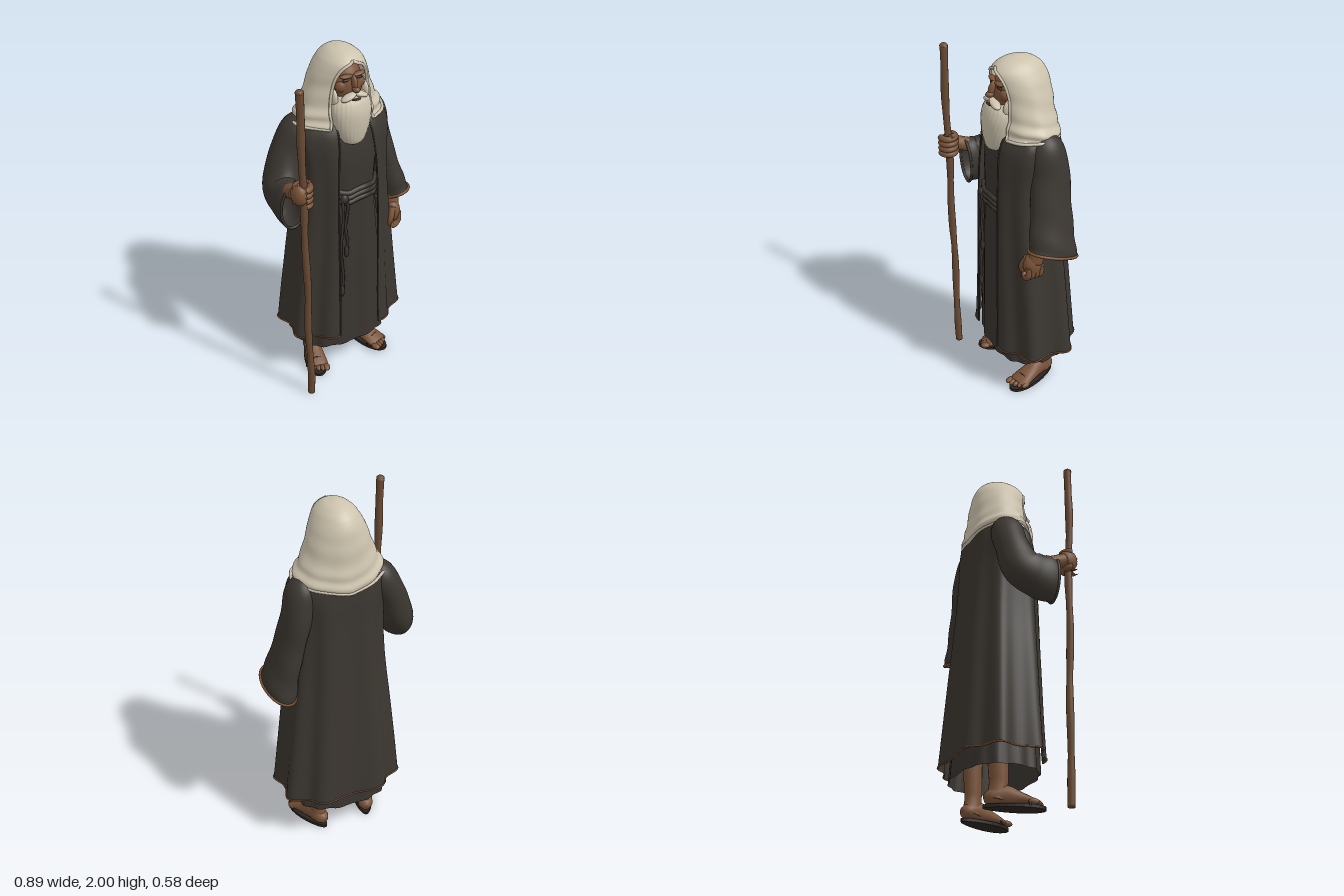
import * as THREE from 'three';

const V = (x, y, z) => new THREE.Vector3(x, y, z);
const colours = {
  coat: 0x3b3630, robe: 0x39342f, hood: 0xcdc3ae, beard: 0xcac0ab, skin: 0x7a5338,
  staff: 0x6a4b34, trim: 0x79502f, sandal: 0x2b2622, shadow: 0x3d291c,
};

export function createModel() {
  const model = new THREE.Group();
  const mats = {};
  for (const [name, color] of Object.entries(colours)) {
    mats[name] = new THREE.MeshStandardMaterial({ color });
    mats[name].name = name;
  }
  for (const cloth of ['coat', 'robe', 'hood']) mats[cloth].side = THREE.DoubleSide;

  const add = (name, geo, mat, parent = model) => {
    const mesh = new THREE.Mesh(geo, mats[mat]);
    mesh.name = name;
    parent.add(mesh);
    return mesh;
  };

  // Smooth interpolation through rows of numbers
  const sample = (rows, t) => {
    const f = t * (rows.length - 1), i = Math.min(Math.floor(f), rows.length - 2), u = f - i;
    const r = k => rows[Math.max(0, Math.min(rows.length - 1, k))];
    return r(i).map((b, k) => {
      const a = r(i - 1)[k], c = r(i + 1)[k], d = r(i + 2)[k];
      return b + 0.5 * u * (c - a + u * (2 * a - 5 * b + 4 * c - d + u * (3 * (b - c) + d - a)));
    });
  };

  // Skin a list of rings; optional end caps
  const skin = (rings, closed, caps) => {
    const n = rings[0].length, pts = rings.flat(), idx = [], last = (rings.length - 1) * n;
    for (let i = 0; i < rings.length - 1; i++)
      for (let j = 0; j < (closed ? n : n - 1); j++) {
        const a = i * n + j, b = i * n + (j + 1) % n;
        idx.push(a, b, a + n, b, b + n, a + n);
      }
    if (caps) {
      for (const ring of [rings[0], rings[rings.length - 1]])
        pts.push(ring.reduce((s, p) => s.add(p), V(0, 0, 0)).divideScalar(n));
      for (let j = 0; j < n; j++) {
        const k = (j + 1) % n;
        idx.push(pts.length - 2, k, j, pts.length - 1, last + j, last + k);
      }
    }
    const geo = new THREE.BufferGeometry().setFromPoints(pts);
    geo.setIndex(idx);
    geo.computeVertexNormals();
    return geo;
  };

  // Upright cloth section: rows are [y, halfWidth, zFront, zBack, halfOpening]
  const cloth = (rows, pow, bend) => (t, s) => {
    const [y, rx, zf, zb, w] = sample(rows, t);
    const a0 = Math.asin(Math.pow(Math.min(1, Math.max(0, w) / rx), pow / 2));
    const a = a0 + s * 2 * (Math.PI - a0);
    const e = v => Math.sign(v) * Math.pow(Math.abs(v), 2 / pow);
    const p = V(rx * e(Math.sin(a)), y, (zf - zb) / 2 * e(Math.cos(a)));
    bend(p, a, t);
    p.z += (zf + zb) / 2;
    return p;
  };
  const loft = (f, nv, nu, closed, caps) => skin(Array.from({ length: nv + 1 }, (_, i) =>
    Array.from({ length: closed ? nu : nu + 1 }, (_, j) => f(i / nv, j / nu))), closed, caps);

  // Tapered limb: points are [x, y, z, radiusA, radiusB]; slant tilts the far end
  const limb = (pts, ref, { nv = 24, nu = 18, caps = true, wrinkle = 0, slant = 0 } = {}) => {
    const rings = [];
    for (let i = 0; i <= nv; i++) {
      const t = i / nv, p = sample(pts, t);
      const q = sample(pts, Math.min(1, t + 0.01)), o = sample(pts, Math.max(0, t - 0.01));
      const T = V(q[0] - o[0], q[1] - o[1], q[2] - o[2]).normalize();
      const S = ref.clone().cross(T).normalize(), U = T.clone().cross(S);
      rings.push(Array.from({ length: nu }, (_, j) => {
        const a = j / nu * Math.PI * 2, k = 1 + wrinkle * t * Math.sin(t * 24 + 2 * Math.sin(a));
        const v = V(p[0], p[1], p[2]).addScaledVector(S, p[3] * k * Math.cos(a)).addScaledVector(U, p[4] * k * Math.sin(a));
        v.y += slant * t ** 4 * (v.z - p[2]);
        return v;
      }));
    }
    return { geo: skin(rings, true, caps), end: rings[nv] };
  };
  const cord = (pts, r, closed = false) =>
    new THREE.TubeGeometry(new THREE.CatmullRomCurve3(pts, closed), pts.length * 4, r, 7, closed);
  const ball = (name, mat, pos, scale, parent, rx = 0, rz = 0) => {
    const m = add(name, new THREE.SphereGeometry(1, 24, 16), mat, parent);
    m.position.set(...pos);
    m.scale.set(...scale);
    m.rotation.set(rx, 0, rz);
    return m;
  };
  const folds = (count, amp) => (p, a, t) => {
    const k = 1 + amp * (1 - t) * -Math.cos(count * a);
    p.x *= k;
    p.z *= k;
  };

  // Inner robe
  const robe = cloth([[0.2, 0.278, 0.168, -0.245, 0], [0.55, 0.25, 0.165, -0.225, 0], [0.9, 0.21, 0.165, -0.2, 0],
    [1.2, 0.175, 0.16, -0.18, 0], [1.42, 0.19, 0.155, -0.17, 0], [1.58, 0.18, 0.12, -0.15, 0], [1.68, 0.09, 0.06, -0.1, 0]],
  2.5, folds(14, 0.025));
  add('innerRobe', loft(robe, 40, 84, true), 'robe');

  // Open coat with a plain front edge and a hem trim
  const coatFold = folds(8, 0.065);
  const coat = cloth([[0.29, 0.342, 0.188, -0.275, 0.122], [0.5, 0.322, 0.183, -0.262, 0.119], [0.8, 0.29, 0.182, -0.243, 0.118],
    [1.1, 0.257, 0.18, -0.222, 0.117], [1.35, 0.247, 0.174, -0.208, 0.112], [1.53, 0.262, 0.155, -0.2, 0.1],
    [1.62, 0.225, 0.115, -0.182, 0.09], [1.69, 0.1, 0.06, -0.11, 0.06]], 2.5,
  (p, a, t) => { coatFold(p, a, t); p.x += 0.014 * (1 - t); });
  add('coat', loft(coat, 48, 110, false), 'coat');
  const steps = n => Array.from({ length: n + 1 }, (_, i) => i / n);
  for (const s of [0, 1])
    add('coatFrontEdge', cord(steps(24).map(t => coat(t * 0.9, s)), 0.005), 'robe');
  add('coatHemTrim', cord(steps(70).map(s => coat(0, s)), 0.005), 'trim');

  // Rope belt and hanging ends
  for (const [y, r] of [[1.228, 0.014], [1.2, 0.015], [1.17, 0.014]])
    add('belt', cord(steps(39).slice(0, -1).map(s => {
      const p = robe((y - 0.2) / 2 * 0.98, s);
      return V(p.x * 1.02, y + 0.006 * Math.sin(s * 50), p.z * 1.03);
    }), r, true), 'robe');
  ball('beltKnot', 'robe', [-0.08, 1.2, 0.172], [0.022, 0.026, 0.018]);
  for (const [x, low] of [[-0.095, 0.6], [-0.068, 0.86]]) {
    add('beltEnd', cord(steps(6).map(t => V(x + 0.007 * Math.sin(t * 9), 1.2 - t * (1.2 - low), 0.176)), 0.008), 'robe');
    ball('beltTassel', 'robe', [x, low, 0.176], [0.013, 0.04, 0.012]);
  }

  // Sleeves with bound cuffs
  const sleeves = [
    ['leftSleeve', 'trim', 0.3, V(0, 0, 1), [[0.165, 1.645, -0.05, 0.02, 0.02], [0.212, 1.57, -0.06, 0.08, 0.09], [0.25, 1.42, -0.07, 0.078, 0.105],
      [0.292, 1.24, -0.055, 0.075, 0.115], [0.33, 1.09, -0.045, 0.083, 0.127], [0.35, 1.0, -0.042, 0.092, 0.135]]],
    ['rightSleeve', 'coat', 0, V(1, 0, 0), [[-0.155, 1.645, -0.06, 0.02, 0.02], [-0.215, 1.565, -0.065, 0.09, 0.082], [-0.285, 1.43, -0.07, 0.095, 0.085],
      [-0.345, 1.28, -0.035, 0.12, 0.09], [-0.365, 1.235, 0.05, 0.13, 0.082], [-0.365, 1.23, 0.135, 0.135, 0.072]]],
  ];
  for (const [name, edge, slant, ref, pts] of sleeves) {
    const { geo, end } = limb(pts, ref, { nv: 40, nu: 32, caps: false, wrinkle: 0.03, slant });
    add(name, geo, 'coat');
    add(name + 'Cuff', cord(end, 0.008, true), edge);
  }

  // Head and face
  ball('head', 'skin', [0, 1.815, 0.015], [0.098, 0.135, 0.118]);
  ball('noseBridge', 'skin', [0, 1.845, 0.136], [0.015, 0.042, 0.022], model, -0.3);
  ball('noseTip', 'skin', [0, 1.815, 0.15], [0.02, 0.016, 0.024]);
  add('neck', new THREE.CylinderGeometry(0.065, 0.085, 0.2, 24), 'skin').position.set(0, 1.65, -0.01);
  for (const s of [-1, 1]) {
    ball('brow', 'skin', [s * 0.036, 1.88, 0.115], [0.038, 0.011, 0.018], model, 0, s * 0.1);
    ball('eye', 'shadow', [s * 0.037, 1.86, 0.115], [0.022, 0.007, 0.01], model, 0, -s * 0.1);
    ball('cheek', 'skin', [s * 0.045, 1.822, 0.09], [0.04, 0.035, 0.03]);
    ball('moustache', 'beard', [s * 0.034, 1.776, 0.138], [0.046, 0.015, 0.026], model, 0, -s * 0.35);
    ball('sideburn', 'beard', [s * 0.092, 1.76, 0.075], [0.02, 0.055, 0.045]);
  }
  ball('mouth', 'shadow', [0, 1.762, 0.155], [0.026, 0.005, 0.012]);

  // Long beard with strand ripples
  const beard = cloth([[1.5, 0.03, 0.152, 0.09, 0], [1.525, 0.066, 0.175, 0.06, 0], [1.6, 0.098, 0.188, 0.04, 0],
    [1.68, 0.114, 0.188, 0.02, 0], [1.735, 0.108, 0.172, 0.01, 0], [1.768, 0.08, 0.15, 0.02, 0]], 2, (p, a, t) => {
    const k = 1 + 0.01 * Math.sin(26 * a + 3 * Math.sin(t * 6));
    p.x *= k;
    p.z *= k;
  });
  add('beard', loft(beard, 30, 110, true, true), 'beard');

  // Draped hood, open at the face, hanging lower at front and back
  const hood = cloth([[1.585, 0.252, 0.14, -0.21, 0.125], [1.635, 0.238, 0.138, -0.207, 0.122], [1.7, 0.204, 0.128, -0.194, 0.12],
    [1.8, 0.169, 0.125, -0.183, 0.105], [1.88, 0.142, 0.134, -0.168, 0.086], [1.928, 0.117, 0.137, -0.147, 0.055],
    [1.958, 0.094, 0.118, -0.122, 0], [1.985, 0.058, 0.075, -0.08, 0], [1.998, 0.012, 0.014, -0.022, 0]], 2, (p, a, t) => {
    const low = Math.max(0, 1 - t * 1.9), back = (1 - Math.cos(a)) / 2;
    const k = 1 + 0.03 * low * Math.sin(t * 42 + 5 * back + Math.sin(a)) + 0.012 * low * Math.sin(9 * a);
    p.x *= k;
    p.z *= k;
    p.y -= low * (0.022 * back - 0.04 * Math.abs(Math.sin(a)));
  });
  add('hood', loft(hood, 60, 90, false), 'hood');
  ball('hoodCrown', 'hood', [0, 1.991, -0.004], [0.03, 0.008, 0.036]);
  for (const s of [0, 1])
    add('hoodRim', cord(steps(20).map(t => hood(t * 0.75, s)), 0.008), 'hood');
  add('hoodHem', cord(steps(50).map(s => hood(0, s)), 0.009), 'hood');

  // Gnarled staff
  const staff = steps(14).map(t => {
    const r = 0.0195 + 0.002 * Math.sin(t * 31) + 0.003 * t ** 8;
    return [-0.333 - 0.042 * t + 0.003 * Math.sin(t * 21), 0.001 + 1.945 * t, 0.228 + 0.013 * t + 0.003 * Math.sin(t * 17), r, r];
  });
  add('staff', limb(staff, V(0, 0, 1), { nv: 90, nu: 14 }).geo, 'staff');
  ball('staffTop', 'staff', [-0.373, 1.943, 0.239], [0.022, 0.015, 0.022]);

  // Right forearm and hand gripping the staff
  add('rightForearm', limb([[-0.37, 1.28, 0.02, 0.045, 0.045], [-0.375, 1.33, 0.13, 0.039, 0.039], [-0.385, 1.355, 0.2, 0.04, 0.036]],
    V(1, 0, 0)).geo, 'skin');
  ball('rightPalm', 'skin', [-0.378, 1.362, 0.222], [0.042, 0.062, 0.054]);
  for (let i = 0; i < 4; i++) {
    const finger = add('rightFinger', new THREE.TorusGeometry(0.037, 0.0175, 10, 24, Math.PI * 1.5), 'skin');
    finger.position.set(-0.365, 1.315 + i * 0.031, 0.237);
    finger.rotation.set(Math.PI / 2, 0, -Math.PI * 0.95);
    finger.scale.set(1.02, 1.05, 1.05);
  }
  add('rightThumb', limb([[-0.38, 1.37, 0.19, 0.02, 0.02], [-0.345, 1.41, 0.205, 0.018, 0.018], [-0.325, 1.425, 0.24, 0.013, 0.013]],
    V(0, 1, 0)).geo, 'skin');

  // Left forearm and relaxed hand
  add('leftForearm', limb([[0.33, 1.16, -0.02, 0.045, 0.045], [0.318, 1.04, 0.02, 0.04, 0.042], [0.308, 0.95, 0.045, 0.04, 0.045]],
    V(0, 0, 1)).geo, 'skin');
  ball('leftPalm', 'skin', [0.303, 0.93, 0.053], [0.046, 0.07, 0.054]);
  for (let i = 0; i < 4; i++) {
    const z = 0.015 + i * 0.024;
    add('leftFinger', limb([[0.328, 0.93, z, 0.015, 0.016], [0.325, 0.875, z + 0.003, 0.016, 0.016], [0.295, 0.848, z + 0.004, 0.016, 0.016],
      [0.268, 0.865, z + 0.003, 0.013, 0.014]], V(0, 0, 1), { nu: 10 }).geo, 'skin');
  }
  add('leftThumb', limb([[0.29, 0.97, 0.08, 0.02, 0.02], [0.268, 0.915, 0.098, 0.019, 0.019], [0.257, 0.87, 0.092, 0.014, 0.014]],
    V(0, 0, 1), { nu: 10 }).geo, 'skin');

  // Mirrored feet in sandals
  for (const s of [-1, 1]) {
    const foot = new THREE.Group();
    foot.name = s > 0 ? 'leftFoot' : 'rightFoot';
    foot.position.set(s * 0.153, 0, -0.085);
    foot.rotation.y = s * 0.3;
    model.add(foot);
    add('ankle', limb([[0, 0.42, -0.01, 0.05, 0.06], [0, 0.2, 0, 0.042, 0.052], [0, 0.12, 0, 0.039, 0.049], [0, 0.04, -0.01, 0.045, 0.058]],
      V(0, 0, 1)).geo, 'skin', foot);
    add('instep', limb([[0, 0.045, -0.07, 0.02, 0.022], [0, 0.055, -0.04, 0.042, 0.042], [0, 0.067, 0.03, 0.045, 0.058],
      [0, 0.052, 0.1, 0.053, 0.042], [0, 0.037, 0.17, 0.06, 0.024], [0, 0.032, 0.195, 0.052, 0.016]], V(0, 1, 0)).geo, 'skin', foot);
    for (let i = 0; i < 5; i++)
      ball('toe', 'skin', [s * (-0.045 + i * 0.024), 0.032, 0.205 - i * i * 0.0022], [i ? 0.0135 : 0.02, 0.016, 0.03], foot);
    const sole = new THREE.Shape(steps(24).slice(0, -1).map(t => {
      const a = t * Math.PI * 2, y = Math.sin(a);
      return new THREE.Vector2(Math.cos(a) * (0.058 + 0.014 * y), 0.082 + 0.16 * y);
    }));
    const soleMesh = add('sandalSole', new THREE.ExtrudeGeometry(sole, { depth: 0.018, bevelEnabled: false }), 'sandal', foot);
    soleMesh.rotation.x = Math.PI / 2;
    soleMesh.position.y = 0.018;
    const strap = add('sandalStrap', new THREE.TorusGeometry(1, 0.07, 6, 24, Math.PI), 'sandal', foot);
    strap.position.set(0, 0.01, 0.15);
    strap.scale.set(0.061, 0.06, 0.08);
  }
  return model;
}
